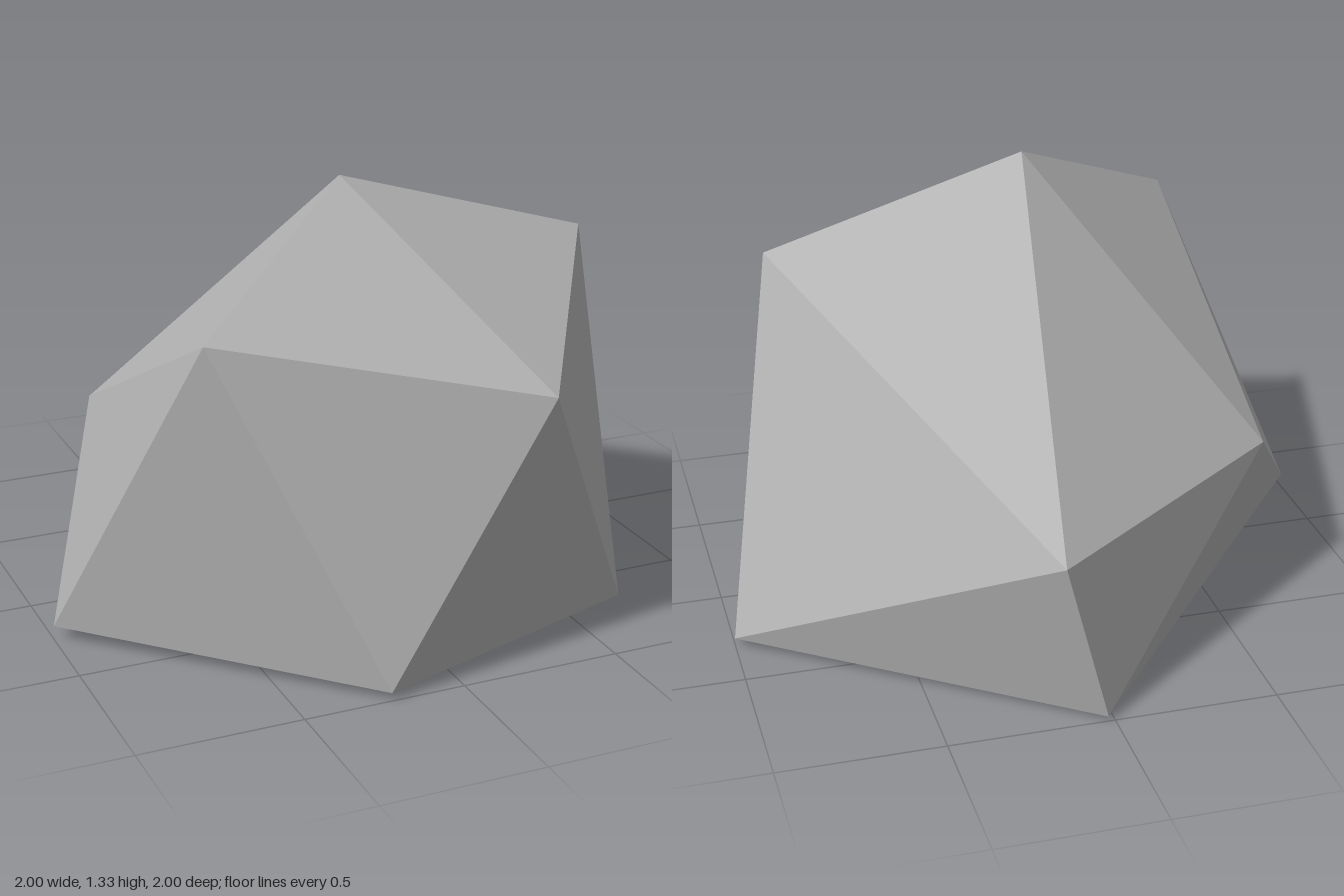
import * as THREE from 'three';

export function createModel() {
  const group = new THREE.Group();
  group.name = 'boulder';
  const stone = new THREE.MeshStandardMaterial({ color: 0xb0b0b0, flatShading: true });
  stone.name = 'stone grey';

  // Rock as a distorted icosahedron: peak, shoulder ring, foot ring, underside
  const peak = [-0.05, 1.33, 0.21];
  const shoulder = [
    [0.275, 0.845, 1.0], [0.78, 1.08, 0.2], [0.15, 0.52, -1.0],
    [-0.67, 0.515, -0.38], [-0.66, 1.02, 0.67],
  ];
  const foot = [
    [-0.23, 0.025, 1.0], [0.685, 0.025, 0.7], [1.0, 0.025, -0.3],
    [0.02, 0.015, -1.0], [-1.0, 0.045, 0.25],
  ];
  const underside = [0.26, 0, 0.02];

  const corners = [];
  for (let i = 0; i < 5; i++) {
    const j = (i + 1) % 5;
    corners.push(peak, shoulder[i], shoulder[j]); // cap
    corners.push(shoulder[i], foot[i], foot[j]); // upright side facet
    corners.push(shoulder[i], foot[j], shoulder[j]); // inverted side facet
    corners.push(underside, foot[j], foot[i]); // base
  }

  const geometry = new THREE.BufferGeometry();
  geometry.setAttribute('position', new THREE.Float32BufferAttribute(corners.flat(), 3));
  geometry.computeVertexNormals();

  const rock = new THREE.Mesh(geometry, stone);
  rock.name = 'rock';
  group.add(rock);
  return group;
}
